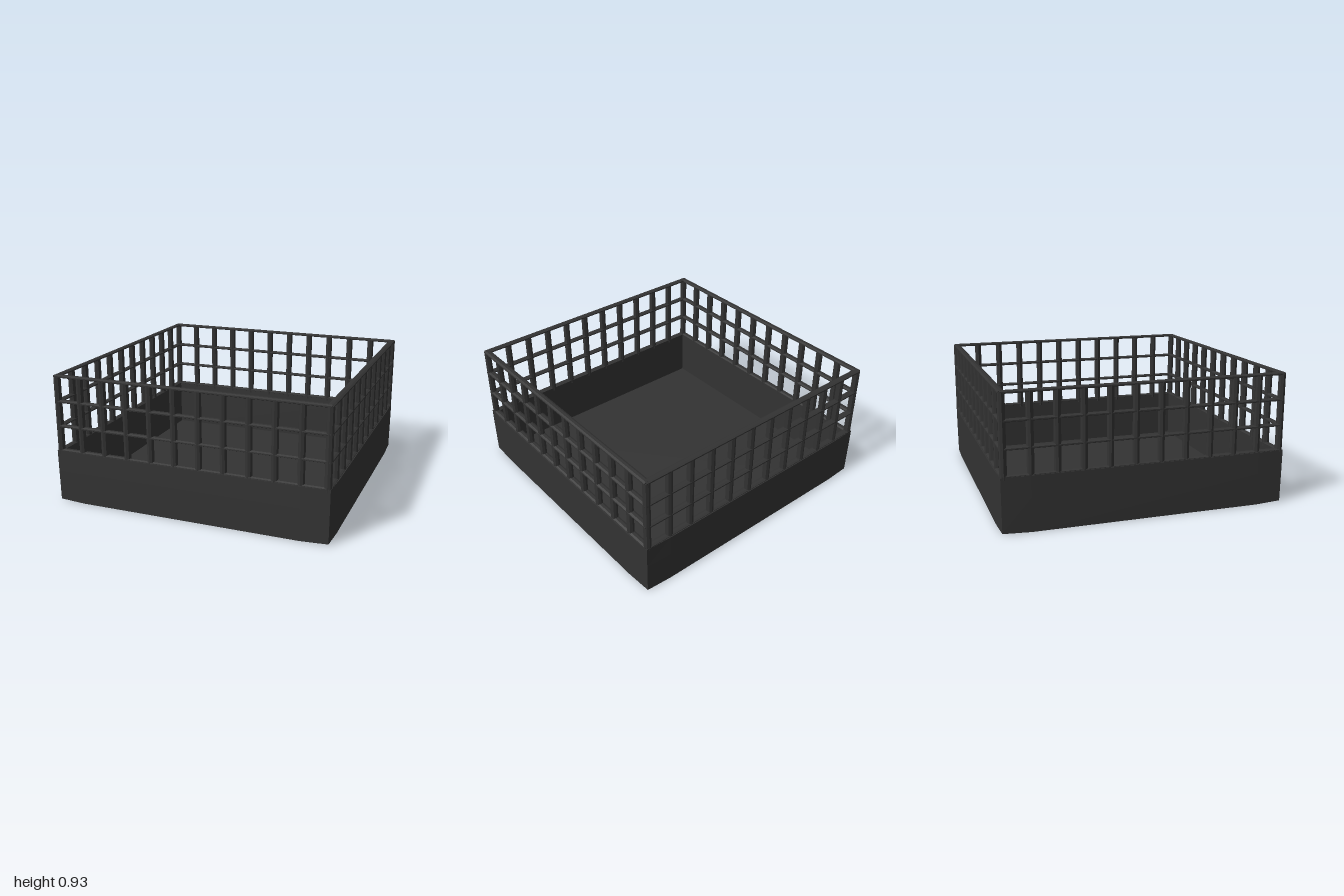
import * as THREE from 'three';

const material = new THREE.MeshStandardMaterial({ color: 0x333333, flatShading: true });
const WALL_TOP = 0.38, TOP = 0.92, LINE = 0.97, POSTS = 11;

// Square loop of 12 points whose sides may bulge past the corners
function squareLoop(corner, side, yCorner, ySide) {
  const loop = [];
  for (let k = 0; k < 4; k++) {
    const c = Math.cos(k * Math.PI / 2), s = Math.sin(k * Math.PI / 2);
    for (const [x, z, y] of [[-corner, corner, yCorner], [-0.8, side, ySide], [0.8, side, ySide]]) {
      loop.push([x * c + z * s, y, -x * s + z * c]);
    }
  }
  return loop;
}

// Open tray: skin over loops from underside centre, up the outside, over the rim, down to the floor
function trayGeometry() {
  const loops = [
    squareLoop(0.99, 0.995, 0.008, 0),
    squareLoop(0.992, 1, WALL_TOP * 0.6, WALL_TOP * 0.6),
    squareLoop(0.993, 1, WALL_TOP, WALL_TOP),
    squareLoop(0.95, 0.95, WALL_TOP, WALL_TOP),
    squareLoop(0.95, 0.95, 0.015, 0.015),
  ];
  const points = [];
  const n = 12;
  for (let j = 0; j < n; j++) {
    const k = (j + 1) % n;
    points.push([0, 0, 0], loops[0][k], loops[0][j]);
    for (let i = 0; i + 1 < loops.length; i++) {
      const a = loops[i], b = loops[i + 1];
      points.push(a[j], a[k], b[k], a[j], b[k], b[j]);
    }
    const floor = loops[loops.length - 1];
    points.push([0, 0.015, 0], floor[j], floor[k]);
  }
  const geometry = new THREE.BufferGeometry();
  geometry.setAttribute('position', new THREE.Float32BufferAttribute(points.flat(), 3));
  geometry.computeVertexNormals();
  return geometry;
}

export function createModel() {
  const group = new THREE.Group();
  const tray = new THREE.Mesh(trayGeometry(), material);
  tray.name = 'tray';
  group.add(tray);

  const postHeight = TOP - WALL_TOP + 0.02;
  const postGeometry = new THREE.CylinderGeometry(0.025, 0.025, postHeight, 8);

  // Flattened eight-sided rail lying along x
  const railGeometry = new THREE.CylinderGeometry(0.025, 0.025, 1.96, 8);
  railGeometry.rotateY(Math.PI / 8).rotateZ(Math.PI / 2).scale(1, 0.45, 1);

  // One lattice panel per side; each owns the post at one of its corners
  for (let k = 0; k < 4; k++) {
    const panel = new THREE.Group();
    panel.name = 'latticePanel';
    panel.rotation.y = k * Math.PI / 2;
    for (let i = 0; i < POSTS; i++) {
      const post = new THREE.Mesh(postGeometry, material);
      post.name = 'post';
      post.position.set(-LINE + i * 2 * LINE / POSTS, TOP - postHeight / 2, LINE);
      panel.add(post);
    }
    for (let i = 0; i < 4; i++) {
      const rail = new THREE.Mesh(railGeometry, material);
      rail.name = i === 3 ? 'topRail' : 'rail';
      rail.position.set(0, WALL_TOP + (TOP - WALL_TOP) * i / 3, LINE);
      panel.add(rail);
    }
    group.add(panel);
  }
  return group;
}
